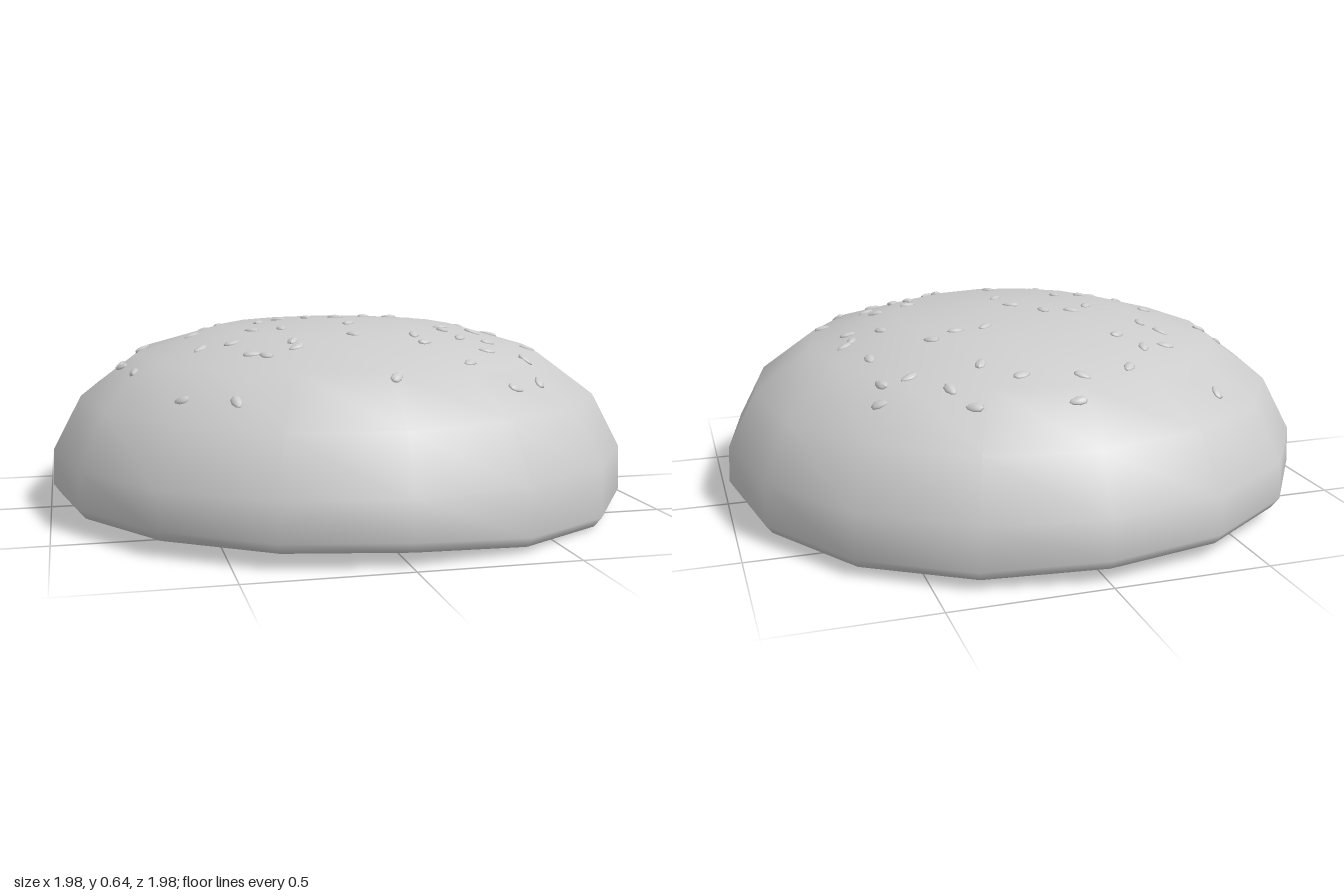
import * as THREE from 'three';
import { mergeVertices } from 'three/addons/utils/BufferGeometryUtils.js';

const SIDES = 16;

// Dome profile from rim to crown, as [radius, height]
const DOME = [[0.99, 0.08], [0.985, 0.2], [0.89, 0.38], [0.7, 0.52], [0.41, 0.603], [0, 0.63]];
const UNDERSIDE = [[0, 0.045], [0.5, 0.042], [0.92, 0.035], [0.965, 0.046]];

// Seed places on the crown, as x, z pairs
const SEEDS = [
  0.02, -0.74, -0.03, -0.64, -0.49, -0.63, -0.2, -0.6, 0.15, -0.6, 0.32, -0.68, 0.37, -0.59, 0.25, -0.5,
  0.47, -0.48, 0.57, -0.52, 0.55, -0.45, -0.31, -0.46, -0.25, -0.38, -0.4, -0.43, -0.44, -0.3, -0.39, -0.24,
  0.16, -0.24, 0.26, -0.25, 0.35, -0.28, 0.55, -0.28, -0.75, -0.12, -0.67, -0.13, -0.19, -0.11, -0.09, -0.1,
  -0.27, -0.04, -0.51, -0.01, 0, -0.02, 0.47, -0.07, 0.57, -0.07, 0.6, -0.1, 0.57, 0, -0.75, 0.03,
  -0.72, 0.18, -0.51, 0.25, -0.41, 0.28, -0.33, 0.17, -0.23, 0.18, 0.01, 0.14, 0.32, 0.19, 0.44, 0.18,
  0.3, 0.27, 0.34, 0.34, 0.45, 0.31, 0.62, 0.24, -0.03, 0.37, -0.23, 0.38, -0.23, 0.44, -0.37, 0.43,
  -0.33, 0.46, 0.17, 0.38, 0.19, 0.44, 0.4, 0.44, 0.53, 0.45, 0.53, 0.57, 0.29, 0.59, 0.42, 0.65,
  -0.6, 0.54, -0.45, 0.65, 0.02, 0.71,
];

// Height of the many-sided dome above a point on the ground
function domeHeight(x, z) {
  const step = (2 * Math.PI) / SIDES;
  const a = Math.atan2(x, z) + 2 * Math.PI;
  const r = Math.hypot(x, z) * Math.cos((a % step) - step / 2) / Math.cos(step / 2);
  for (let i = DOME.length - 1; i > 0; i--) {
    const [r0, y0] = DOME[i], [r1, y1] = DOME[i - 1];
    if (r <= r1) return y0 + (y1 - y0) * (r - r0) / (r1 - r0);
  }
  return DOME[0][1];
}

// Smooth bun whose lower rim sags at two corners
function bunGeometry() {
  const profile = [...UNDERSIDE, ...DOME].map(([r, y]) => new THREE.Vector2(r, y));
  let g = new THREE.LatheGeometry(profile, SIDES);
  const p = g.attributes.position;
  for (let i = 0; i < p.count; i++) {
    const x = p.getX(i), y = p.getY(i), z = p.getZ(i);
    if (y < 0.1) {
      const sag = Math.max(0, x) * Math.abs(z) * (z > 0 ? 0.083 : 0.05);
      p.setY(i, Math.max(0, y - sag));
    }
  }
  g.deleteAttribute('uv');
  g.deleteAttribute('normal');
  g = mergeVertices(g, 1e-4);
  g.computeVertexNormals();
  return g;
}

// Flattened teardrop, pointed towards +x
function seedGeometry() {
  const g = new THREE.SphereGeometry(1, 8, 6);
  const p = g.attributes.position;
  for (let i = 0; i < p.count; i++) {
    const x = p.getX(i), taper = 1 - 0.4 * (x + 1) / 2;
    p.setXYZ(i, x * 0.029, p.getY(i) * 0.011 * taper, p.getZ(i) * 0.021 * taper);
  }
  g.computeVertexNormals();
  return g;
}

export function createModel() {
  const model = new THREE.Group();
  model.name = 'seededBun';
  const crust = new THREE.MeshStandardMaterial({ color: 0xcccccc });
  crust.name = 'crust grey';

  const bun = new THREE.Mesh(bunGeometry(), crust);
  bun.name = 'bun';
  model.add(bun);

  // Seeds lie on the slope, each turned a different way
  const seeds = new THREE.Group();
  seeds.name = 'seeds';
  const shape = seedGeometry();
  const up = new THREE.Vector3(0, 1, 0);
  const e = 0.02;
  for (let i = 0; i < SEEDS.length; i += 2) {
    const x = SEEDS[i], z = SEEDS[i + 1];
    const normal = new THREE.Vector3(
      domeHeight(x - e, z) - domeHeight(x + e, z), 2 * e,
      domeHeight(x, z - e) - domeHeight(x, z + e)).normalize();
    const seed = new THREE.Mesh(shape, crust);
    seed.name = 'seed';
    seed.position.set(x, domeHeight(x, z), z);
    seed.quaternion.setFromUnitVectors(up, normal);
    seed.rotateY(i * 1.2);
    seeds.add(seed);
  }
  model.add(seeds);
  return model;
}
